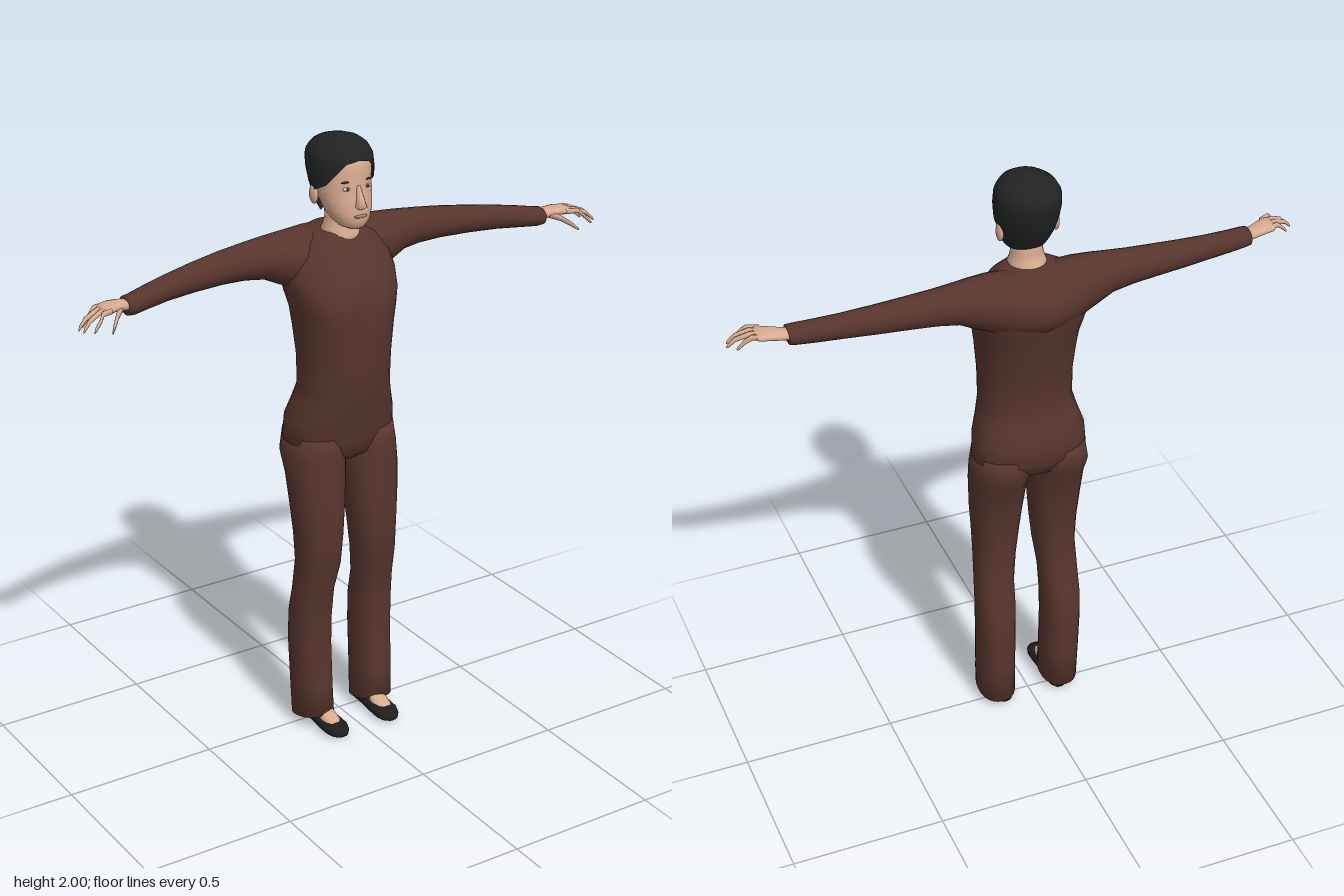
import * as THREE from 'three';

const mat = (name, color, side = THREE.FrontSide) => {
  const m = new THREE.MeshStandardMaterial({ color, side });
  m.name = name;
  return m;
};

// Skin through rings [t, a0, a1, b0, b1], t ascending along the axis.
// Axis y: a = z, b = x.  Axis x: a = y, b = z.  Axis z: a = x, b = y.
function loft(axis, rings, sides = 20, power = 2, rule = null) {
  const pos = [], idx = [];
  const put = (t, a, b) => {
    const p = axis === 'y' ? [b, t, a] : axis === 'x' ? [t, a, b] : [a, b, t];
    pos.push(...(rule ? rule(...p) : p));
  };
  const bend = v => Math.sign(v) * Math.pow(Math.abs(v), 2 / power);
  for (const [t, a0, a1, b0, b1] of rings)
    for (let j = 0; j < sides; j++) {
      const q = (j / sides) * Math.PI * 2;
      put(t, (a0 + a1) / 2 + bend(Math.cos(q)) * (a1 - a0) / 2,
        (b0 + b1) / 2 + bend(Math.sin(q)) * (b1 - b0) / 2);
    }
  const last = rings.length - 1, end = rings.length * sides;
  for (const [t, a0, a1, b0, b1] of [rings[0], rings[last]]) put(t, (a0 + a1) / 2, (b0 + b1) / 2);
  for (let j = 0; j < sides; j++) {
    const k = (j + 1) % sides;
    for (let i = 0; i < last; i++) {
      const r = i * sides, s = r + sides;
      idx.push(r + j, r + k, s + k, r + j, s + k, s + j);
    }
    idx.push(end, k, j, end + 1, last * sides + j, last * sides + k);
  }
  return surface(pos, idx);
}

function surface(pos, idx) {
  const g = new THREE.BufferGeometry();
  g.setAttribute('position', new THREE.Float32BufferAttribute(pos, 3));
  g.setIndex(idx);
  g.computeVertexNormals();
  return g;
}

// Mirror a geometry across x = 0, keeping faces outward
function mirrored(g) {
  const p = [...g.attributes.position.array].map((v, i) => (i % 3 === 0 ? -v : v));
  const src = g.index.array, idx = [];
  for (let i = 0; i < src.length; i += 3) idx.push(src[i], src[i + 2], src[i + 1]);
  return surface(p, idx);
}

// Linear lookup in rows sorted by their first value
function sample(rows, t) {
  let i = 0;
  while (i < rows.length - 2 && t > rows[i + 1][0]) i++;
  const f = THREE.MathUtils.clamp((t - rows[i][0]) / (rows[i + 1][0] - rows[i][0]), 0, 1);
  return rows[i].map((v, k) => v + (rows[i + 1][k] - v) * f);
}

const ball = (x, y, z, sx, sy, sz) =>
  new THREE.SphereGeometry(1, 14, 10).scale(sx, sy, sz).translate(x, y, z);

export function createModel() {
  const model = new THREE.Group();
  model.name = 'standingFigure';
  const suit = mat('brown cloth', 0x57352d);
  const skin = mat('skin', 0xd8ab90);
  const hair = mat('black hair', 0x222323, THREE.DoubleSide);
  const shoe = mat('black leather', 0x1e1e20);
  const lip = mat('lips', 0xb27a68);
  const white = mat('eye white', 0xd5d5d8);
  const dark = mat('iris and brow', 0x4a3a34);

  const add = (name, g, m) => {
    const mesh = new THREE.Mesh(g, m);
    mesh.name = name;
    model.add(mesh);
  };
  const pair = (name, g, m) => {
    add(name + 'Left', g, m);
    add(name + 'Right', mirrored(g), m);
  };
  const sym = ([y, w, zb, zf]) => [y, zb, zf, -w, w];

  // Torso with a shallow dip down the middle of the chest
  add('torso', loft('y', [
    [0.94, 0.07, -0.05, 0.06], [0.97, 0.15, -0.1, 0.1], [1.02, 0.188, -0.124, 0.112],
    [1.09, 0.182, -0.128, 0.125], [1.15, 0.163, -0.108, 0.137], [1.2, 0.15, -0.092, 0.146],
    [1.3, 0.15, -0.1, 0.155], [1.4, 0.158, -0.12, 0.165], [1.46, 0.165, -0.133, 0.172],
    [1.51, 0.178, -0.145, 0.163], [1.56, 0.185, -0.157, 0.135], [1.62, 0.175, -0.168, 0.1],
    [1.67, 0.13, -0.145, 0.08], [1.7, 0.07, -0.1, 0.058],
  ].map(sym), 32, 2.3, (x, y, z) => {
    const dip = z > 0.05 ? 0.022 * Math.exp(-((x / 0.05) ** 2) - ((y - 1.46) / 0.07) ** 2) : 0;
    return [x, y, z - dip];
  }), suit);

  // Shoulders and both sleeves in one run, cuff to cuff
  const sleeve = [
    [0, 1.5, 1.695, -0.183, 0.05], [0.08, 1.5, 1.703, -0.16, 0.05], [0.14, 1.515, 1.703, -0.138, 0.045],
    [0.2, 1.54, 1.701, -0.118, 0.03], [0.25, 1.565, 1.697, -0.107, 0.018], [0.32, 1.576, 1.69, -0.098, 0.012],
    [0.4, 1.58, 1.682, -0.088, 0.013], [0.5, 1.58, 1.67, -0.07, 0.018], [0.6, 1.578, 1.657, -0.047, 0.028],
    [0.68, 1.574, 1.645, -0.028, 0.045], [0.735, 1.572, 1.636, -0.014, 0.06],
    [0.755, 1.575, 1.633, -0.012, 0.063], [0.756, 1.585, 1.625, 0, 0.052],
  ];
  const flipped = sleeve.slice(1).reverse().map(([x, ...r]) => [-x, ...r]);
  add('shouldersAndSleeves', loft('x', [...flipped, ...sleeve], 20), suit);

  // Trouser legs, hem raised at the front
  pair('trouserLeg', loft('y', [
    [0.025, -0.06, 0.095, 0.05, 0.176], [0.15, -0.068, 0.09, 0.052, 0.178], [0.3, -0.076, 0.083, 0.052, 0.18],
    [0.4, -0.07, 0.083, 0.05, 0.18], [0.5, -0.045, 0.09, 0.047, 0.178], [0.6, -0.04, 0.117, 0.036, 0.173],
    [0.7, -0.046, 0.12, 0.025, 0.178], [0.8, -0.058, 0.117, 0.015, 0.186], [0.9, -0.08, 0.114, 0.006, 0.191],
    [0.97, -0.12, 0.111, 0, 0.192], [1.04, -0.118, 0.108, 0.004, 0.18],
  ], 24, 2.25, (x, y, z) => [x, y < 0.05 ? y + 0.2 * (z + 0.03) : y, z]), suit);

  // Feet and low shoes
  pair('foot', loft('z', [
    [-0.03, 0.075, 0.12, 0.02, 0.1], [0.05, 0.072, 0.126, 0.02, 0.085],
    [0.1, 0.07, 0.13, 0.02, 0.06], [0.14, 0.075, 0.125, 0.015, 0.043],
  ], 14), skin);
  pair('shoe', loft('z', [
    [-0.05, 0.08, 0.118, 0.005, 0.035], [-0.03, 0.068, 0.128, 0, 0.048], [0.05, 0.064, 0.134, 0, 0.046],
    [0.1, 0.058, 0.14, 0, 0.046], [0.14, 0.057, 0.139, 0, 0.042], [0.165, 0.065, 0.13, 0.002, 0.034],
    [0.182, 0.08, 0.115, 0.008, 0.022],
  ], 18, 2.4), shoe);

  // Hands: palm, four drooping fingers, thumb
  pair('palm', loft('x', [
    [0.735, 1.588, 1.62, 0.004, 0.048], [0.775, 1.596, 1.627, -0.002, 0.055],
    [0.81, 1.602, 1.63, 0, 0.07], [0.84, 1.604, 1.628, 0.005, 0.085], [0.852, 1.608, 1.624, 0.015, 0.08],
  ], 16, 2.3), skin);
  const finger = pts => loft('x', pts.map(([x, y, z, r]) => [x, y - r, y + r, z - r, z + r]), 8);
  [[0.015, 0.905, 0.045], [0.035, 0.93, 0.068], [0.055, 0.925, 0.09], [0.074, 0.9, 0.11]]
    .forEach(([z, tx, tz], i) => pair('finger' + (i + 1), finger([
      [0.825, 1.617, z, 0.009], [0.86, 1.619, z + (tz - z) * 0.4, 0.0085],
      [tx - 0.025, 1.603, z + (tz - z) * 0.75, 0.0075], [tx - 0.006, 1.584, tz - 0.003, 0.006],
      [tx, 1.577, tz, 0.003],
    ]), skin));
  pair('thumb', finger([
    [0.775, 1.608, 0.042, 0.011], [0.805, 1.598, 0.072, 0.01],
    [0.83, 1.58, 0.1, 0.008], [0.845, 1.566, 0.116, 0.004],
  ]), skin);

  // Neck and head
  add('neck', loft('y', [
    [1.665, 0.06, -0.06, 0.076], [1.69, 0.064, -0.06, 0.072], [1.712, 0.056, -0.046, 0.062],
    [1.74, 0.05, -0.036, 0.055], [1.8, 0.052, -0.04, 0.055],
  ].map(sym), 20), skin);
  add('head', loft('y', [
    [1.722, 0.022, 0.05, 0.106], [1.73, 0.04, 0.03, 0.118], [1.75, 0.059, 0, 0.126],
    [1.78, 0.074, -0.032, 0.127], [1.82, 0.084, -0.058, 0.118], [1.86, 0.089, -0.078, 0.111],
    [1.9, 0.09, -0.09, 0.112], [1.94, 0.086, -0.088, 0.104], [1.97, 0.06, -0.06, 0.07],
  ].map(sym), 28), skin);
  add('nose', loft('y', [
    [1.79, 0.012, 0.1, 0.132], [1.799, 0.018, 0.1, 0.148], [1.82, 0.012, 0.1, 0.137],
    [1.86, 0.007, 0.095, 0.115],
  ].map(sym), 12), skin);
  pair('ear', ball(0.09, 1.82, 0, 0.011, 0.031, 0.02), skin);
  pair('eye', ball(0.036, 1.853, 0.102, 0.015, 0.006, 0.006), white);
  pair('iris', ball(0.036, 1.853, 0.106, 0.006, 0.0055, 0.004), dark);
  pair('eyebrow', ball(0.038, 1.874, 0.101, 0.02, 0.003, 0.005), dark);
  add('mouth', ball(0, 1.768, 0.123, 0.023, 0.006, 0.009), lip);

  // Hair cap: columns from the hairline up to the crown
  const shell = [
    [1.755, 0.068, -0.034, 0.1], [1.8, 0.088, -0.064, 0.11], [1.85, 0.097, -0.09, 0.116],
    [1.9, 0.102, -0.108, 0.119], [1.94, 0.1, -0.113, 0.113], [1.968, 0.084, -0.096, 0.096],
    [1.986, 0.058, -0.064, 0.066], [2, 0, 0, 0],
  ];
  const hairline = [
    [0, 1.938], [0.4, 1.93], [0.75, 1.895], [1.05, 1.862], [1.35, 1.848],
    [1.6, 1.838], [1.75, 1.775], [2.2, 1.76], [3.15, 1.765],
  ];
  const pos = [], idx = [], cols = 48, rows = 16;
  for (let i = 0; i <= rows; i++)
    for (let j = 0; j < cols; j++) {
      const q = (j / cols) * Math.PI * 2, low = sample(hairline, Math.min(q, Math.PI * 2 - q))[1];
      const y = low + (2 - low) * Math.sin((i / rows) * Math.PI / 2);
      const [, w, zb, zf] = sample(shell, y);
      pos.push(Math.sin(q) * w, y, (zb + zf) / 2 + Math.cos(q) * (zf - zb) / 2);
      if (i < rows) {
        const a = i * cols + j, b = i * cols + (j + 1) % cols;
        idx.push(a, b, b + cols, a, b + cols, a + cols);
      }
    }
  add('hair', surface(pos, idx), hair);

  return model;
}
